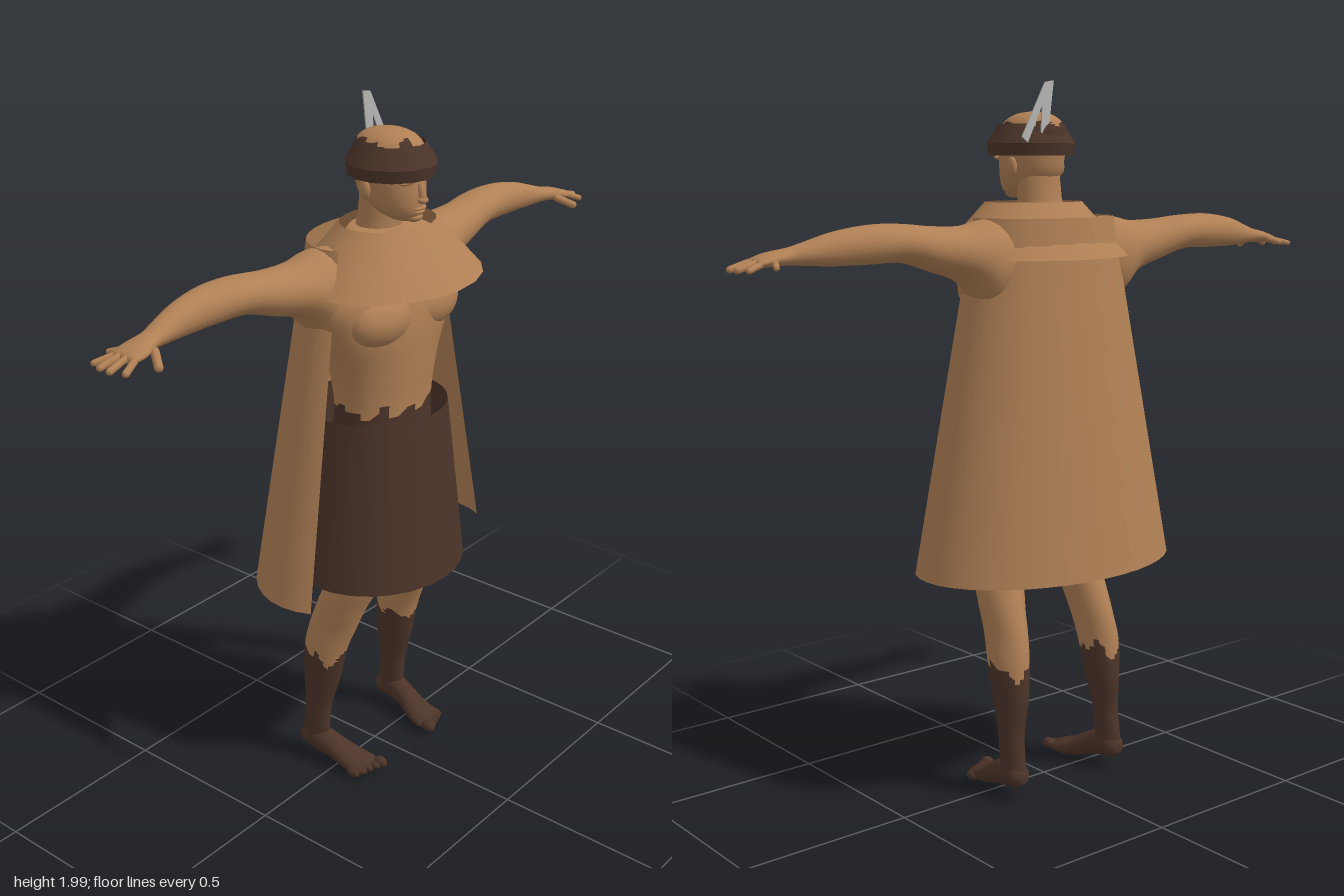
import * as THREE from 'three';

const mat = (name, color) =>
  Object.assign(new THREE.MeshStandardMaterial({ color, side: THREE.DoubleSide }), { name });

// Smooth closed loft. Keys: [x, y, z, radiusA, radiusB]; rings lie across the given axis.
// paint(x, y, z) returns 0 or 1, the material group of each face.
function loft(keys, axis = 'y', paint = () => 0, steps = 5, seg = 24) {
  const centre = new THREE.CatmullRomCurve3(keys.map(k => new THREE.Vector3(k[0], k[1], k[2])), false, 'catmullrom');
  const radius = new THREE.CatmullRomCurve3(keys.map(k => new THREE.Vector3(k[3], k[4], 0)), false, 'catmullrom');
  const n = (keys.length - 1) * steps, pos = [], groups = [[], []];
  for (let i = 0; i <= n; i++) {
    const c = centre.getPoint(i / n), r = radius.getPoint(i / n);
    for (let j = 0; j < seg; j++) {
      const t = (j / seg) * Math.PI * 2, a = r.x * Math.cos(t), b = r.y * Math.sin(t);
      if (axis === 'y') pos.push(c.x + a, c.y, c.z + b);
      else if (axis === 'x') pos.push(c.x, c.y + a, c.z + b);
      else pos.push(c.x + a, c.y + b, c.z);
    }
  }
  const first = centre.getPoint(0), last = centre.getPoint(1);
  pos.push(first.x, first.y, first.z, last.x, last.y, last.z);
  const tris = [], capA = (n + 1) * seg;
  for (let j = 0; j < seg; j++) {
    const k = (j + 1) % seg;
    for (let i = 0; i < n; i++) {
      const a = i * seg + j, b = i * seg + k;
      tris.push([a, a + seg, b], [b, a + seg, b + seg]);
    }
    tris.push([capA, j, k], [capA + 1, n * seg + k, n * seg + j]);
  }
  const p = i => new THREE.Vector3(pos[3 * i], pos[3 * i + 1], pos[3 * i + 2]);
  // keep the faces pointing outwards whichever way the loft runs
  let volume = 0;
  for (const [a, b, c] of tris) volume += p(a).sub(first).dot(p(b).sub(first).cross(p(c).sub(first)));
  for (const [a, b, c] of tris) {
    const m = p(a).add(p(b)).add(p(c)).divideScalar(3);
    groups[paint(m.x, m.y, m.z)].push(a, ...(volume < 0 ? [c, b] : [b, c]));
  }
  const g = new THREE.BufferGeometry();
  g.setAttribute('position', new THREE.Float32BufferAttribute(pos, 3));
  g.setIndex([...groups[0], ...groups[1]]);
  g.addGroup(0, groups[0].length, 0);
  g.addGroup(groups[0].length, groups[1].length, 1);
  g.computeVertexNormals();
  return g;
}

// Open elliptical frustum for the clothes
function frustum(top, bottom, y0, y1, zScale, z, seg, start = 0, length = Math.PI * 2) {
  return new THREE.CylinderGeometry(top, bottom, y1 - y0, seg, 1, true, start, length)
    .scale(1, 1, zScale).translate(0, (y0 + y1) / 2, z);
}

const ball = (x, y, z, rx, ry, rz) =>
  new THREE.SphereGeometry(1, 20, 14).scale(rx, ry, rz).translate(x, y, z);

function finger(from, to, r) {
  const a = new THREE.Vector3(...from), b = new THREE.Vector3(...to), d = b.clone().sub(a);
  const q = new THREE.Quaternion().setFromUnitVectors(new THREE.Vector3(0, 1, 0), d.clone().normalize());
  return new THREE.CapsuleGeometry(r, Math.max(d.length() - r, 0.01), 4, 10)
    .applyQuaternion(q).translate(...a.add(b).multiplyScalar(0.5).toArray());
}

export function createModel() {
  const tan = mat('tan', 0xb08055), brown = mat('dark brown', 0x4c3429), grey = mat('feather grey', 0xb6b6b4);
  const both = [tan, brown];
  const model = new THREE.Group();
  const add = (name, geometry, material = tan) => {
    const m = new THREE.Mesh(geometry, material);
    m.name = name;
    model.add(m);
  };
  const jag = (x, z) => 0.012 * Math.sin(x * 70 + z * 25) + 0.007 * Math.sin(z * 120);

  // Torso with dark shorts
  add('torso', loft([
    [0, 0.82, 0.02, 0.12, 0.09], [0, 0.95, 0.02, 0.175, 0.125], [0, 1.15, 0.03, 0.163, 0.113],
    [0, 1.28, 0.03, 0.185, 0.123], [0, 1.4, 0.03, 0.24, 0.13], [0, 1.5, 0.025, 0.27, 0.12],
    [0, 1.6, 0.01, 0.2, 0.09], [0, 1.66, 0.01, 0.09, 0.065],
  ], 'y', (x, y, z) => (y < 1.165 + jag(x, z) ? 1 : 0), 8, 32), both);
  add('neck', loft([
    [0, 1.58, 0, 0.085, 0.075], [0, 1.66, 0.015, 0.067, 0.06],
    [0, 1.72, 0.022, 0.064, 0.056], [0, 1.78, 0.025, 0.06, 0.055],
  ]));

  // Head with a dark hairline under the headband
  add('head', loft([
    [0, 1.688, 0.1, 0.032, 0.04], [0, 1.712, 0.08, 0.06, 0.075], [0, 1.75, 0.06, 0.078, 0.096],
    [0, 1.8, 0.052, 0.086, 0.1], [0, 1.85, 0.05, 0.09, 0.104], [0, 1.89, 0.048, 0.074, 0.09],
    [0, 1.912, 0.046, 0.044, 0.055], [0, 1.92, 0.046, 0.006, 0.008],
  ], 'y', (x, y, z) => (y > 1.8 && y < 1.885 + jag(x, z) ? 1 : 0), 6, 28), both);
  add('nose', finger([0, 1.79, 0.148], [0, 1.747, 0.162], 0.011));
  add('noseTip', ball(0, 1.745, 0.16, 0.016, 0.01, 0.015));
  add('upperLip', ball(0, 1.723, 0.15, 0.026, 0.005, 0.012));
  add('lowerLip', ball(0, 1.713, 0.148, 0.022, 0.005, 0.012));
  add('chin', ball(0, 1.697, 0.132, 0.026, 0.014, 0.022));

  // Headband and feather
  add('headband', frustum(0.122, 0.116, 1.8, 1.833, 1.02, 0.056, 14), brown);
  add('headbandTop', frustum(0.09, 0.122, 1.833, 1.885, 1.02, 0.056, 14), brown);
  add('headbandUnderside', new THREE.RingGeometry(0.08, 0.116, 14, 1)
    .rotateX(Math.PI / 2).rotateY(Math.PI / 2).scale(1, 1, 1.02).translate(0, 1.8, 0.056), brown);
  const feather = new THREE.Shape([
    [0, 2], [0.03, 1.995], [0.11, 1.85], [0.09, 1.835], [0.04, 1.935], [0.045, 1.84], [0.022, 1.835],
  ].map(p => new THREE.Vector2(...p)));
  add('feather', new THREE.ExtrudeGeometry(feather, { depth: 0.004, bevelEnabled: false })
    .translate(0, 0, -0.042), grey);

  for (const s of [1, -1]) {
    const side = s > 0 ? 'left' : 'right';
    const mirror = keys => keys.map(([x, ...rest]) => [s * x, ...rest]);

    add(side + 'Chest', ball(s * 0.1, 1.435, 0.1, 0.115, 0.075, 0.068));
    add(side + 'Ear', ball(s * 0.085, 1.77, 0.035, 0.011, 0.027, 0.018));
    add(side + 'Brow', ball(s * 0.036, 1.795, 0.136, 0.03, 0.008, 0.016));

    // Arm and palm
    add(side + 'Arm', loft(mirror([
      [0.12, 1.53, -0.01, 0.09, 0.085], [0.22, 1.515, -0.015, 0.118, 0.096], [0.3, 1.542, -0.015, 0.076, 0.085],
      [0.4, 1.56, -0.02, 0.06, 0.07], [0.5, 1.579, -0.03, 0.05, 0.064], [0.6, 1.58, -0.035, 0.05, 0.054],
      [0.7, 1.573, -0.03, 0.043, 0.042], [0.78, 1.563, -0.018, 0.029, 0.034], [0.82, 1.558, -0.01, 0.022, 0.031],
      [0.87, 1.552, 0, 0.018, 0.044], [0.905, 1.545, 0, 0.013, 0.044], [0.915, 1.542, 0, 0.007, 0.036],
    ]), 'x'));
    [ // base x, y, z, tip x, y, z, radius; thumb first
      [0.84, 1.55, 0.03, 0.875, 1.525, 0.08, 0.011], [0.9, 1.547, 0.033, 0.952, 1.527, 0.05, 0.009],
      [0.905, 1.547, 0.01, 0.97, 1.53, 0.015, 0.009], [0.905, 1.547, -0.012, 0.968, 1.53, -0.02, 0.009],
      [0.9, 1.545, -0.03, 0.955, 1.53, -0.055, 0.008], [0.87, 1.547, -0.035, 0.89, 1.535, -0.075, 0.008],
    ].slice(0, 6).forEach(([x, y, z, u, v, w, r], i) =>
      add(side + (i ? 'Finger' : 'Thumb'), finger([s * x, y, z], [s * u, v, w], r)));

    // Leg: dark shorts above, dark boot below a ragged edge
    add(side + 'Leg', loft(mirror([
      [0.085, 0.95, 0.02, 0.08, 0.1], [0.105, 0.8, 0.04, 0.085, 0.095], [0.135, 0.66, 0.042, 0.072, 0.084],
      [0.153, 0.56, 0.005, 0.06, 0.078], [0.161, 0.48, -0.025, 0.053, 0.076], [0.169, 0.4, -0.047, 0.054, 0.068],
      [0.172, 0.3, -0.06, 0.046, 0.06], [0.178, 0.2, -0.07, 0.035, 0.042], [0.18, 0.12, -0.078, 0.031, 0.044],
      [0.18, 0.065, -0.085, 0.033, 0.042],
    ]), 'y', (x, y, z) => (y > 0.76 + jag(x, z) || y < 0.38 + 1.5 * jag(x, z) ? 1 : 0), 8), both);
    add(side + 'Foot', loft(mirror([
      [0.18, 0.075, -0.13, 0.014, 0.014], [0.18, 0.078, -0.11, 0.032, 0.033], [0.18, 0.078, -0.06, 0.034, 0.042],
      [0.173, 0.062, -0.01, 0.036, 0.037], [0.162, 0.04, 0.04, 0.046, 0.031], [0.156, 0.032, 0.085, 0.05, 0.022],
      [0.154, 0.03, 0.108, 0.04, 0.014],
    ]), 'z'), brown);
    for (let i = 0; i < 5; i++)
      add(side + 'Toe', ball(s * (0.119 + i * 0.021), 0.034 - i * 0.002, 0.118 - i * 0.009,
        i ? 0.011 : 0.016, i ? 0.013 : 0.017, 0.023), brown);
  }

  // Clothes: skirt, collar and a cape open at the front
  add('skirt', frustum(0.21, 0.268, 0.66, 1.15, 0.9, 0.01, 28), brown);
  add('collar', frustum(0.145, 0.29, 1.525, 1.675, 0.82, 0.045, 20));
  add('cape', frustum(0.22, 0.41, 0.66, 1.635, 0.68, 0, 24, Math.PI / 2 - 0.33, Math.PI + 0.66));
  return model;
}
